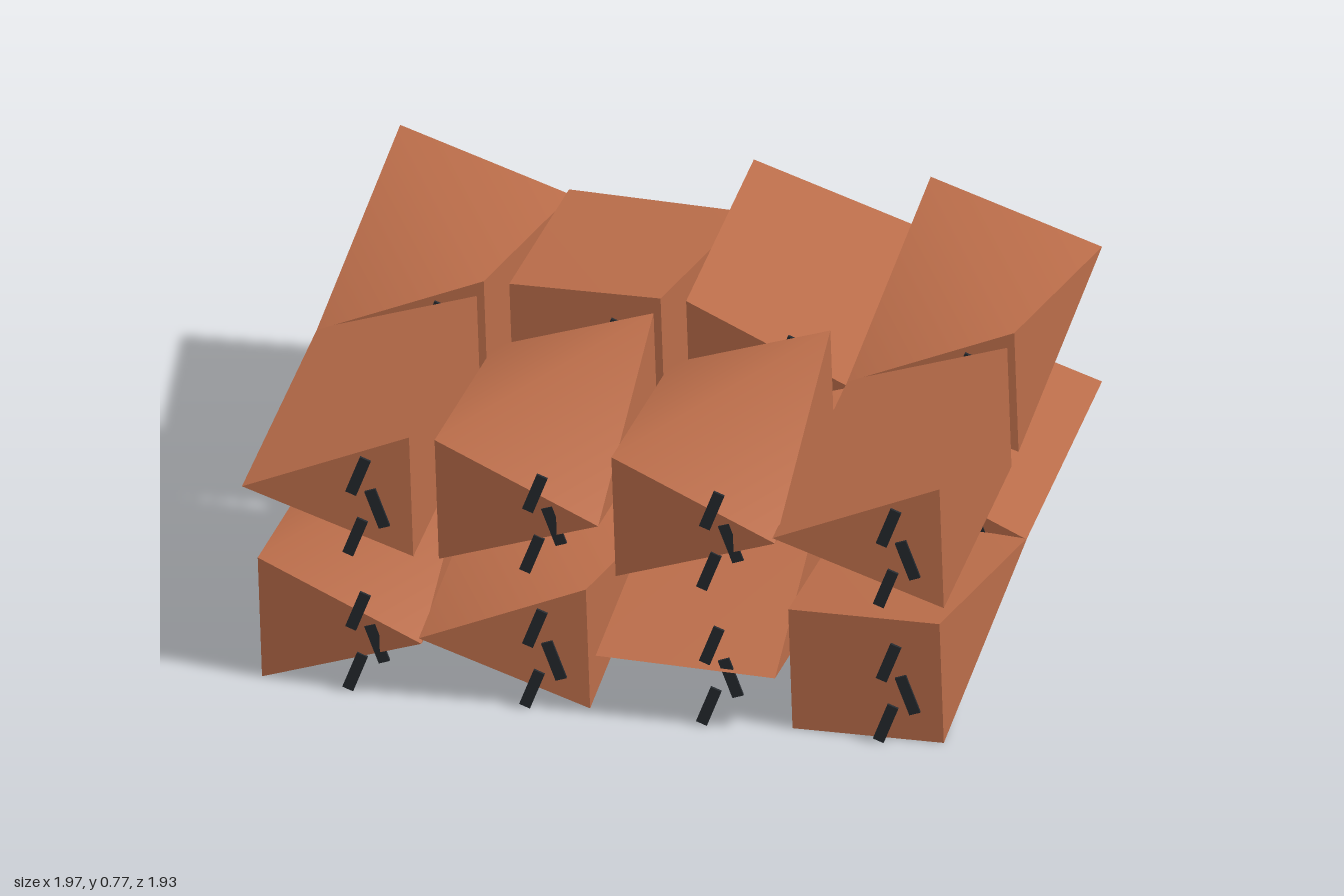
import * as THREE from 'three';
import { toCreasedNormals } from 'three/addons/utils/BufferGeometryUtils.js';
import { ConvexGeometry } from 'three/addons/geometries/ConvexGeometry.js';

const clay = new THREE.MeshStandardMaterial({ name: 'clay', color: 0xb96c49 });
const charcoal = new THREE.MeshStandardMaterial({ name: 'charcoal', color: 0x25292e });

// Corner order: front -x, front +x, back +x, back -x.
// e = corner with an upright edge, p = corner pinched to a point at mid height.
const layers = [
  { name: 'lower', y: 0.19, front: ['epep', 'pepe', 'ppee', 'eepp'], back: ['pepe', 'pepe', 'pepe', 'eppe'] },
  { name: 'upper', y: 0.6, front: ['peep', 'epep', 'epep', 'peep'], back: ['pepe', 'eepp', 'eppe', 'pepe'] },
];
const SIDES = [[-1, 1], [1, 1], [1, -1], [-1, -1]];
const HALF_HEIGHT = 0.18;

// Rough block: the hull of four pinched or upright corners
function makeBlock(kinds, cx, cy, cz) {
  const points = [];
  SIDES.forEach(([sx, sz], i) => {
    const upright = kinds[i] === 'e';
    const x = cx + sx * (upright ? 0.21 : 0.249);
    const z = cz + sz * (upright ? 0.435 : 0.485);
    if (upright) {
      points.push(new THREE.Vector3(x - 0.006, cy + HALF_HEIGHT, z), new THREE.Vector3(x + 0.006, cy - HALF_HEIGHT, z));
    } else {
      points.push(new THREE.Vector3(x, cy - sx * 0.008, z));
    }
  });
  return new THREE.Mesh(toCreasedNormals(new ConvexGeometry(points), 0.95), clay);
}

// Three slanted strokes on the front of each block
const strokeGeometry = new THREE.BoxGeometry(0.032, 0.115, 0.008);
const STROKES = [[-0.01, 0.065, -0.36], [0.043, -0.028, 0.36], [-0.018, -0.12, -0.36]];
function makeCracks(cx, cy, z) {
  const cracks = new THREE.Group();
  for (const [dx, dy, tilt] of STROKES) {
    const stroke = new THREE.Mesh(strokeGeometry, charcoal);
    stroke.name = 'crackStroke';
    stroke.position.set(cx + 0.08 + dx, cy + dy, z);
    stroke.rotation.z = tilt;
    cracks.add(stroke);
  }
  return cracks;
}

export function createModel() {
  const model = new THREE.Group();
  model.name = 'blockStack';
  for (const layer of layers) {
    for (const row of ['front', 'back']) {
      const cz = row === 'front' ? 0.476 : -0.484;
      layer[row].forEach((kinds, column) => {
        const cx = -0.743 + column * 0.491;
        const block = makeBlock(kinds, cx, layer.y, cz);
        block.name = `${layer.name}${row === 'front' ? 'Front' : 'Back'}Block${column + 1}`;
        const cracks = makeCracks(cx, layer.y, row === 'front' ? 0.944 : -0.013);
        cracks.name = `${block.name}Cracks`;
        model.add(block, cracks);
      });
    }
  }
  return model;
}
